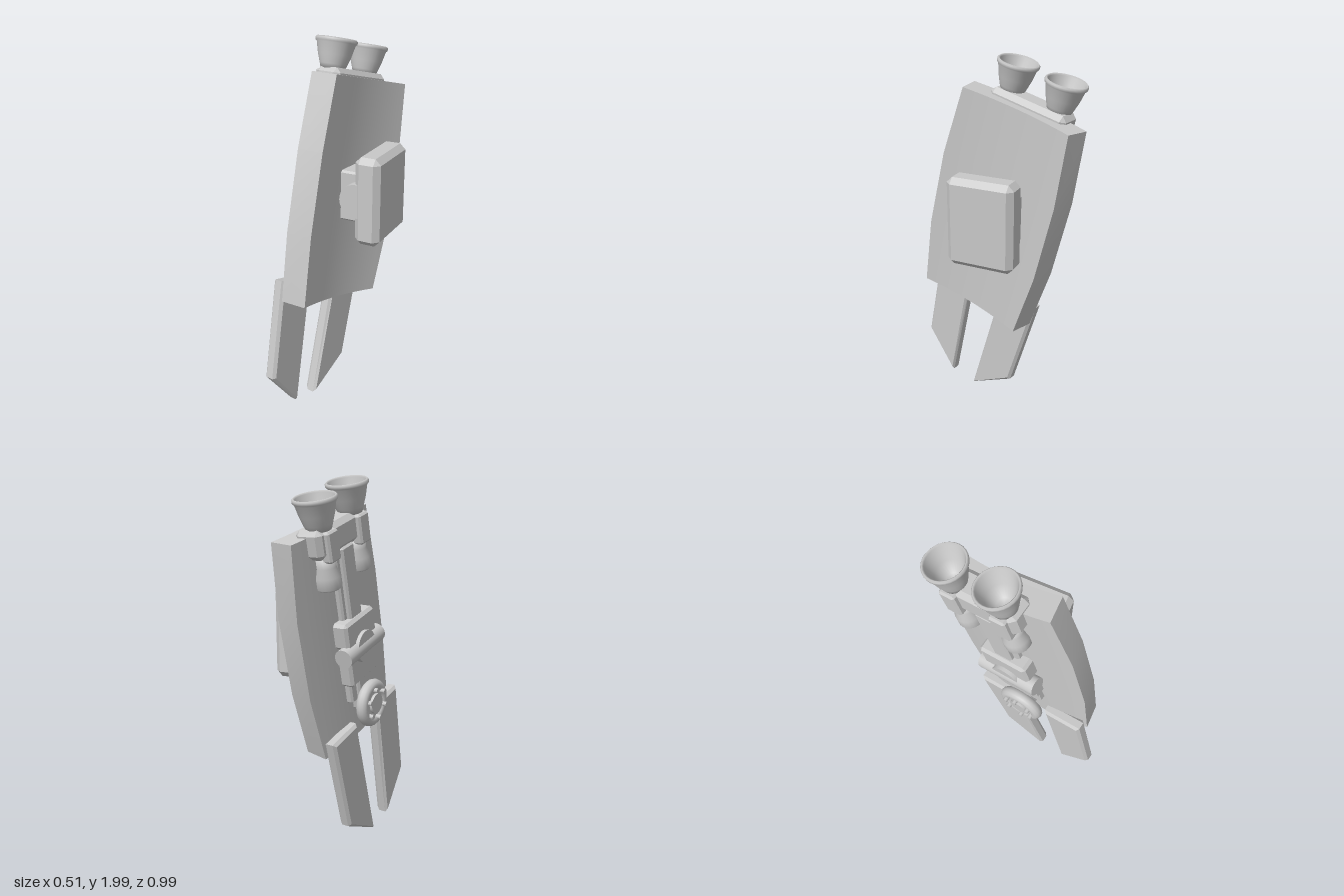
import * as THREE from 'three';
import { ConvexGeometry } from 'three/addons/geometries/ConvexGeometry.js';

const grey = new THREE.MeshStandardMaterial({ color: 0xc8c8c8, side: THREE.DoubleSide });
grey.name = 'light grey';

function add(parent, name, geometry, x = 0, y = 0, z = 0) {
  const mesh = new THREE.Mesh(geometry, grey);
  mesh.name = name;
  mesh.position.set(x, y, z);
  parent.add(mesh);
  return mesh;
}

// Box with every edge cut at an angle
function chamferBox(w, h, d, c) {
  const points = [];
  for (const sx of [-1, 1]) for (const sy of [-1, 1]) for (const sz of [-1, 1])
    for (let k = 0; k < 3; k++)
      points.push(new THREE.Vector3(
        sx * (w / 2 - (k === 0 ? 0 : c)),
        sy * (h / 2 - (k === 1 ? 0 : c)),
        sz * (d / 2 - (k === 2 ? 0 : c))));
  return new ConvexGeometry(points);
}

// Chamfered block given by its limits on each axis
function block(parent, name, [x0, x1], [y0, y1], [z0, z1], c = 0.01) {
  return add(parent, name, chamferBox(x1 - x0, y1 - y0, z1 - z0, c),
    (x0 + x1) / 2, (y0 + y1) / 2, (z0 + z1) / 2);
}

// Thick plate bent around the long axis, narrower at both ends
function curvedPlate() {
  const R = 1.77;
  const geo = new THREE.BoxGeometry(0.134, 1.164, 1, 1, 3, 14);
  const p = geo.attributes.position;
  for (let i = 0; i < p.count; i++) {
    const x = p.getX(i), y = p.getY(i);
    const end = Math.abs(y) > 0.5;
    const a = p.getZ(i) * 2 * (end ? 0.322 : 0.36) / R;
    p.setXYZ(i, R - (R - x) * Math.cos(a), end ? y : Math.sign(y) * 0.21, (R - x) * Math.sin(a));
  }
  geo.computeVertexNormals();
  return geo;
}

// Slanted fin lying along the plate; side is +1 for front, -1 for back
function finGeometry(side) {
  const outline = [[0.105, -0.48], [0.077, -1.221], [0.307, -1.032], [0.335, -0.48]];
  const shape = new THREE.Shape(outline.map(([z, y]) => new THREE.Vector2(side * z, y)));
  const geo = new THREE.ExtrudeGeometry(shape, {
    depth: 0.04, bevelEnabled: true, bevelThickness: 0.015,
    bevelSize: 0.015, bevelOffset: -0.015, bevelSegments: 1 });
  return geo.rotateY(-Math.PI / 2);
}

// Hollow engine bell
function bellGeometry() {
  const profile = [[0, 0], [0.06, 0], [0.07, 0.03], [0.085, 0.075], [0.098, 0.13], [0.106, 0.137],
    [0.107, 0.15], [0.1, 0.157], [0.092, 0.15], [0.07, 0.075], [0.036, 0.02], [0, 0.02]];
  return new THREE.LatheGeometry(profile.map(([r, y]) => new THREE.Vector2(r, y)), 28);
}

export function createModel() {
  const model = new THREE.Group();
  model.name = 'thrusterPanel';

  // Tilted assembly: local y runs along the plate, z across it, x through it
  const tilted = new THREE.Group();
  tilted.name = 'tiltedAssembly';
  const yAxis = new THREE.Vector3(0.037, 0.971, -0.238).normalize();
  const zAxis = new THREE.Vector3(-0.17, 0.238, 0.957);
  const xAxis = new THREE.Vector3().crossVectors(yAxis, zAxis).normalize();
  zAxis.crossVectors(xAxis, yAxis);
  tilted.quaternion.setFromRotationMatrix(new THREE.Matrix4().makeBasis(xAxis, yAxis, zAxis));
  tilted.position.set(-0.038, 1.215, -0.033);
  model.add(tilted);

  add(tilted, 'curvedPlate', curvedPlate());

  // Fins, bells and pumps in front and back pairs
  for (const s of [1, -1]) {
    const end = s > 0 ? 'front' : 'back';
    add(tilted, end + 'Fin', finGeometry(s), -0.055);
    const z = s * 0.139 - 0.012;
    add(tilted, end + 'Bell', bellGeometry(), -0.072, 0.6, z);
    block(tilted, end + 'PumpHousing', [-0.15, -0.05], [0.45, 0.6], [z - 0.045, z + 0.045]);
    const pump = [[0, 0.31], [0.055, 0.31], [0.066, 0.32], [0.066, 0.375], [0.05, 0.42], [0.05, 0.47], [0, 0.47]];
    add(tilted, end + 'Pump', new THREE.LatheGeometry(pump.map(([r, y]) => new THREE.Vector2(r, y)), 20), -0.082, 0, z);
  }

  // Machinery along the middle of the outer side
  block(tilted, 'bellMount', [-0.125, 0.02], [0.47, 0.615], [-0.235, 0.205], 0.025);
  block(tilted, 'spine', [-0.12, -0.04], [0.08, 0.48], [-0.055, 0.055]);
  block(tilted, 'spineRail', [-0.095, -0.04], [0.08, 0.45], [-0.085, 0.085]);
  block(tilted, 'upperHousing', [-0.14, -0.04], [-0.03, 0.11], [-0.14, 0.14], 0.015);
  block(tilted, 'lowerHousing', [-0.13, -0.04], [-0.25, -0.09], [-0.13, 0.13], 0.015);
  block(tilted, 'wheelArm', [-0.12, -0.04], [-0.42, -0.2], [-0.06, 0.06]);
  block(tilted, 'wheelBracket', [-0.1, -0.04], [-0.36, -0.24], [-0.11, 0.11]);
  add(tilted, 'crossCylinder', new THREE.CylinderGeometry(0.05, 0.05, 0.34, 24).rotateX(Math.PI / 2), -0.12, -0.06, 0);
  add(tilted, 'pivotDisc', new THREE.CylinderGeometry(0.085, 0.085, 0.12, 28).rotateZ(Math.PI / 2), -0.1, -0.06, 0);

  // Bolted wheel
  const wheel = new THREE.Group();
  wheel.name = 'wheel';
  wheel.position.set(-0.145, -0.4, 0);
  tilted.add(wheel);
  add(wheel, 'wheelRim', new THREE.TorusGeometry(0.098, 0.032, 12, 32).rotateY(Math.PI / 2));
  add(wheel, 'wheelDisc', new THREE.CylinderGeometry(0.1, 0.1, 0.04, 28).rotateZ(Math.PI / 2));
  add(wheel, 'wheelHub', new THREE.CylinderGeometry(0.055, 0.055, 0.07, 24).rotateZ(Math.PI / 2));
  for (let i = 0; i < 6; i++) {
    const a = i * Math.PI / 3;
    add(wheel, 'wheelBolt', new THREE.CylinderGeometry(0.013, 0.013, 0.03, 10).rotateZ(Math.PI / 2),
      -0.034, 0.082 * Math.cos(a), 0.082 * Math.sin(a));
  }

  // Upright pack on the inner side with its mount and hinge
  block(model, 'pack', [0.11, 0.248], [0.99, 1.457], [-0.225, 0.137], 0.03);
  block(model, 'packMount', [0, 0.125], [1.09, 1.36], [-0.2, 0.08], 0.01);
  add(model, 'packHinge', new THREE.CylinderGeometry(0.09, 0.09, 0.31, 28).rotateX(Math.PI / 2), 0.12, 1.225, -0.025);

  return model;
}
